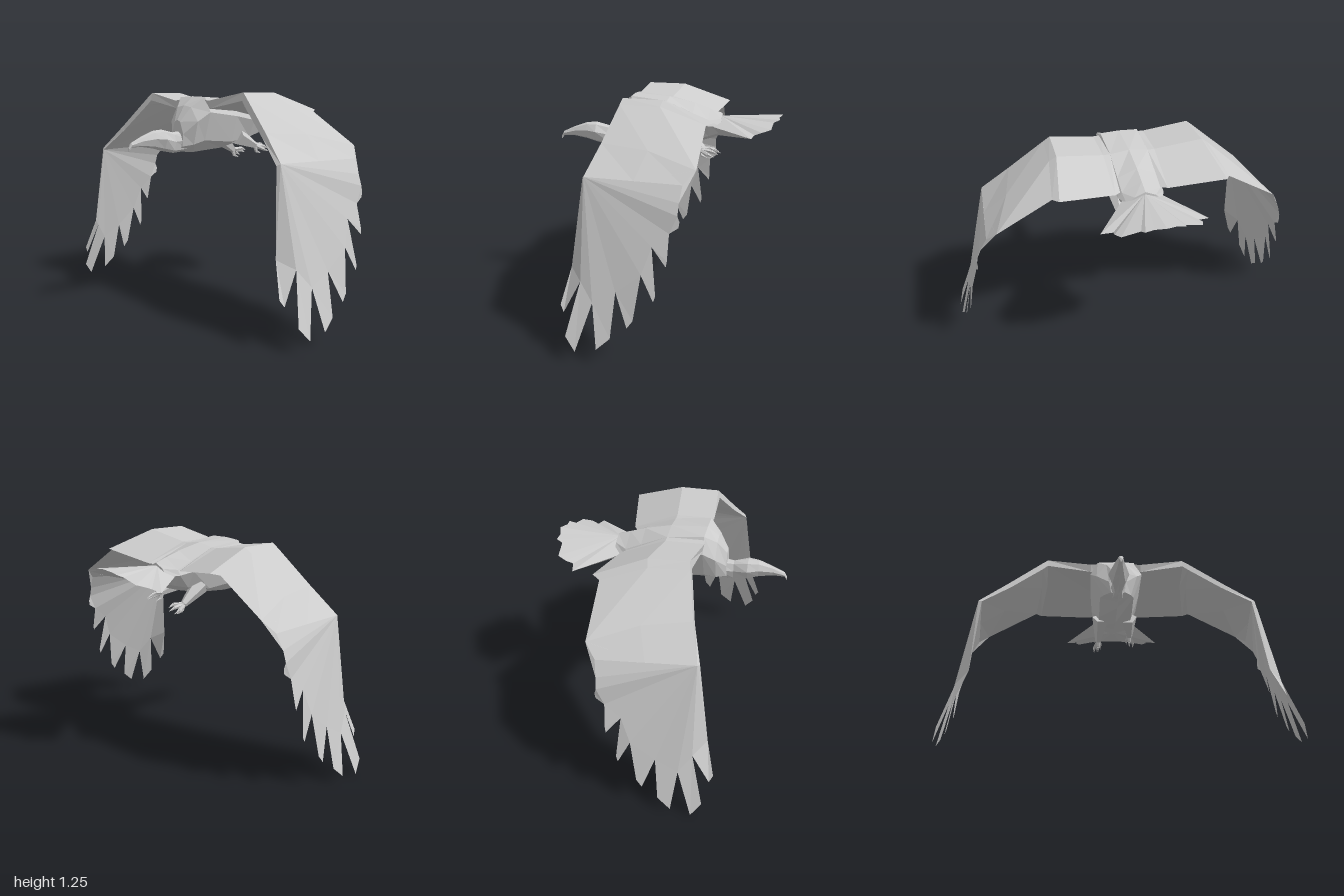
import * as THREE from 'three';

const solid = new THREE.MeshStandardMaterial({ color: 0xcccccc, flatShading: true });
const thin = new THREE.MeshStandardMaterial({ color: 0xcccccc, flatShading: true, side: THREE.DoubleSide });

// Mesh from a list of triangles, each made of three [x, y, z] corners
function facets(name, tris, material) {
  const g = new THREE.BufferGeometry();
  g.setAttribute('position', new THREE.Float32BufferAttribute(tris.flat(2), 3));
  g.computeVertexNormals();
  const m = new THREE.Mesh(g, material);
  m.name = name;
  return m;
}

const fan = (apex, pts) => pts.slice(1).map((p, i) => [apex, pts[i], p]);

// Skin a row of equal-length rings and close both ends
function loft(name, rings, material) {
  const tris = [];
  for (let r = 0; r + 1 < rings.length; r++) {
    const a = rings[r], b = rings[r + 1], n = a.length;
    for (let i = 0; i < n; i++) {
      const j = (i + 1) % n;
      tris.push([a[i], a[j], b[j]], [a[i], b[j], b[i]]);
    }
  }
  const first = rings[0].slice().reverse(), last = rings[rings.length - 1];
  tris.push(...fan(first[0], first.slice(1)), ...fan(last[0], last.slice(1)));
  return facets(name, tris, material);
}

// Symmetric eight-sided section, clockwise seen from the front
const section = (z, ridge, [wt, yt], [wm, ym], [wl, yl], keel) => [
  [0, ridge, z], [wt, yt, z], [wm, ym, z], [wl, yl, z],
  [0, keel, z], [-wl, yl, z], [-wm, ym, z], [-wt, yt, z],
];

// Tapered five-sided rod between two points
function rod(name, a, b, r0, r1) {
  const p = new THREE.Vector3(...a), q = new THREE.Vector3(...b);
  const m = new THREE.Mesh(new THREE.CylinderGeometry(r1, r0, p.distanceTo(q), 5), solid);
  m.position.copy(p).add(q).multiplyScalar(0.5);
  m.quaternion.setFromUnitVectors(new THREE.Vector3(0, 1, 0), q.sub(p).normalize());
  m.name = name;
  return m;
}

// Deep chest, flat shoulders, ridged lower back
function makeBody() {
  return loft('body', [
    section(0.322, 1.09, [0.025, 1.08], [0.05, 1.01], [0.04, 0.94], 0.915),
    section(0.27, 1.17, [0.06, 1.16], [0.12, 1.08], [0.08, 0.95], 0.905),
    section(0.205, 1.22, [0.11, 1.215], [0.155, 1.13], [0.1, 0.97], 0.9),
    section(0, 1.205, [0.11, 1.19], [0.15, 1.1], [0.1, 0.95], 0.91),
    section(-0.15, 1.17, [0.11, 1.125], [0.14, 1.07], [0.09, 0.97], 0.94),
    section(-0.24, 1.14, [0.11, 1.085], [0.13, 1.055], [0.08, 0.99], 0.965),
    section(-0.31, 1.115, [0.06, 1.09], [0.1, 1.05], [0.06, 1.01], 0.99),
  ], solid);
}

// Neck, head and hooked beak: z, half width, top, bottom
function makeHead() {
  return loft('head', [
    [0.66, 0.006, 0.955, 0.932], [0.645, 0.014, 0.98, 0.955], [0.58, 0.022, 1.01, 0.955],
    [0.5, 0.042, 1.038, 0.94], [0.44, 0.06, 1.042, 0.922], [0.36, 0.034, 1.022, 0.905], [0.28, 0.05, 1.03, 0.91],
  ].map(([z, w, t, b]) => {
    const h = t - b;
    return section(z, t, [w * 0.6, t - h * 0.1], [w, b + h * 0.55], [w * 0.6, b + h * 0.12], b);
  }), solid);
}

// Arched fan with a notched rim
function makeTail() {
  const half = [[0.12, 1.05, -0.27], [0.3, 1.02, -0.495], [0.235, 1.03, -0.51], [0.24, 1.045, -0.55],
    [0.22, 1.06, -0.6], [0.12, 1.085, -0.61], [0.11, 1.1, -0.645], [0.06, 1.105, -0.64]];
  const rim = [...half, [0, 1.115, -0.66], ...half.map(([x, y, z]) => [-x, y, z]).reverse()];
  return facets('tail', [...fan([0, 1.1, -0.3], rim), ...fan([0, 0.985, -0.27], rim)], thin);
}

function makeWing(s) {
  const side = (pts) => pts.map(([x, y, z]) => [s * x, y, z]);
  const wing = new THREE.Group();
  wing.name = s > 0 ? 'leftWing' : 'rightWing';

  // Arm rings: front top, middle top, rear, middle underside, front underside
  wing.add(loft('wingArm', [
    [[0.11, 1.2, 0.21], [0.11, 1.19, 0], [0.11, 1.08, -0.225], [0.12, 1.13, 0], [0.13, 1.15, 0.2]],
    [[0.15, 1.195, 0.215], [0.15, 1.19, 0], [0.15, 1.085, -0.255], [0.15, 1.13, 0], [0.15, 1.15, 0.205]],
    [[0.41, 1.24, 0.19], [0.42, 1.235, -0.03], [0.47, 1.13, -0.315], [0.42, 1.19, -0.03], [0.41, 1.195, 0.2]],
    [[0.445, 1.21, 0.2], [0.46, 1.205, -0.02], [0.5, 1.12, -0.27], [0.455, 1.165, -0.02], [0.44, 1.165, 0.21]],
    [[0.64, 1.035, 0.255], [0.7, 1.015, 0], [0.8, 0.945, -0.26], [0.68, 0.995, 0], [0.62, 1.01, 0.26]],
    [[0.8, 0.89, 0.31], [0.825, 0.885, 0.05], [0.85, 0.88, -0.2], [0.815, 0.88, 0.05], [0.78, 0.88, 0.32]],
  ].map(side), thin));

  // Palm of the hand, fanned out from the wrist, with a closed leading edge
  const gaps = side([[0.823, 0.42, 0.375], [0.9, 0.37, 0.31], [0.94, 0.275, 0.24], [0.94, 0.34, 0.12],
    [0.945, 0.44, -0.01], [0.92, 0.58, -0.06], [0.912, 0.65, -0.145], [0.91, 0.74, -0.185]]);
  const rim = [...gaps, ...side([[0.89, 0.8, -0.188], [0.85, 0.88, -0.2], [0.8, 0.945, -0.26]])];
  const [top, under] = side([[0.8, 0.89, 0.31], [0.78, 0.88, 0.32]]);
  wing.add(facets('wingHand', [
    ...fan(top, rim.slice(0, -1)), ...fan(under, rim.slice(0, -1)),
    [top, under, gaps[0]], rim.slice(-3),
  ], thin));

  // Each flight feather spans two neighbouring gaps: outer corner, then tip
  const tips = [
    [[0.89, 0.235, 0.42], [0.905, 0.2, 0.4]], [[0.975, 0.1, 0.375], [1, 0.03, 0.32]],
    [[1, 0.05, 0.21], [0.99, 0.11, 0.14]], [[0.985, 0.17, 0.055], [0.98, 0.21, 0.025]],
    [[0.965, 0.31, -0.075], [0.96, 0.34, -0.085]], [[0.95, 0.49, -0.135], [0.945, 0.52, -0.14]],
    [[0.908, 0.68, -0.19], [0.907, 0.71, -0.195]],
  ];
  tips.forEach((t, i) => {
    const [a, b] = side(t);
    wing.add(facets('flightFeather', [[gaps[i], a, b], [gaps[i], b, gaps[i + 1]]], thin));
  });
  return wing;
}

// Tucked leg; drop lowers the foot
function makeLeg(s, drop) {
  const leg = new THREE.Group();
  leg.name = s > 0 ? 'leftLeg' : 'rightLeg';
  const ankle = [s * 0.1, 0.915 - drop, -0.19];
  leg.add(rod('thigh', [s * 0.085, 0.975, -0.06], ankle, 0.055, 0.02));
  // Toes trail backwards and end in curled claws
  [[0.085, 0.92, -0.25], [0.105, 0.905, -0.26], [0.125, 0.89, -0.24], [0.1, 0.88, -0.2]].forEach(([x, y, z]) => {
    leg.add(rod('toe', ankle, [s * x, y - drop, z], 0.014, 0.01));
    leg.add(rod('claw', [s * x, y - drop, z], [s * x, y - drop - 0.015, z - 0.035], 0.01, 0.001));
  });
  return leg;
}

export function createModel() {
  const model = new THREE.Group();
  model.name = 'bird';
  const bird = new THREE.Group();
  bird.name = 'bankedBird';
  bird.add(makeBody(), makeHead(), makeTail());
  bird.add(makeWing(1), makeWing(-1), makeLeg(1, 0), makeLeg(-1, 0.035));
  bird.rotation.z = 0.03; // slight bank in flight
  model.add(bird);
  return model;
}
